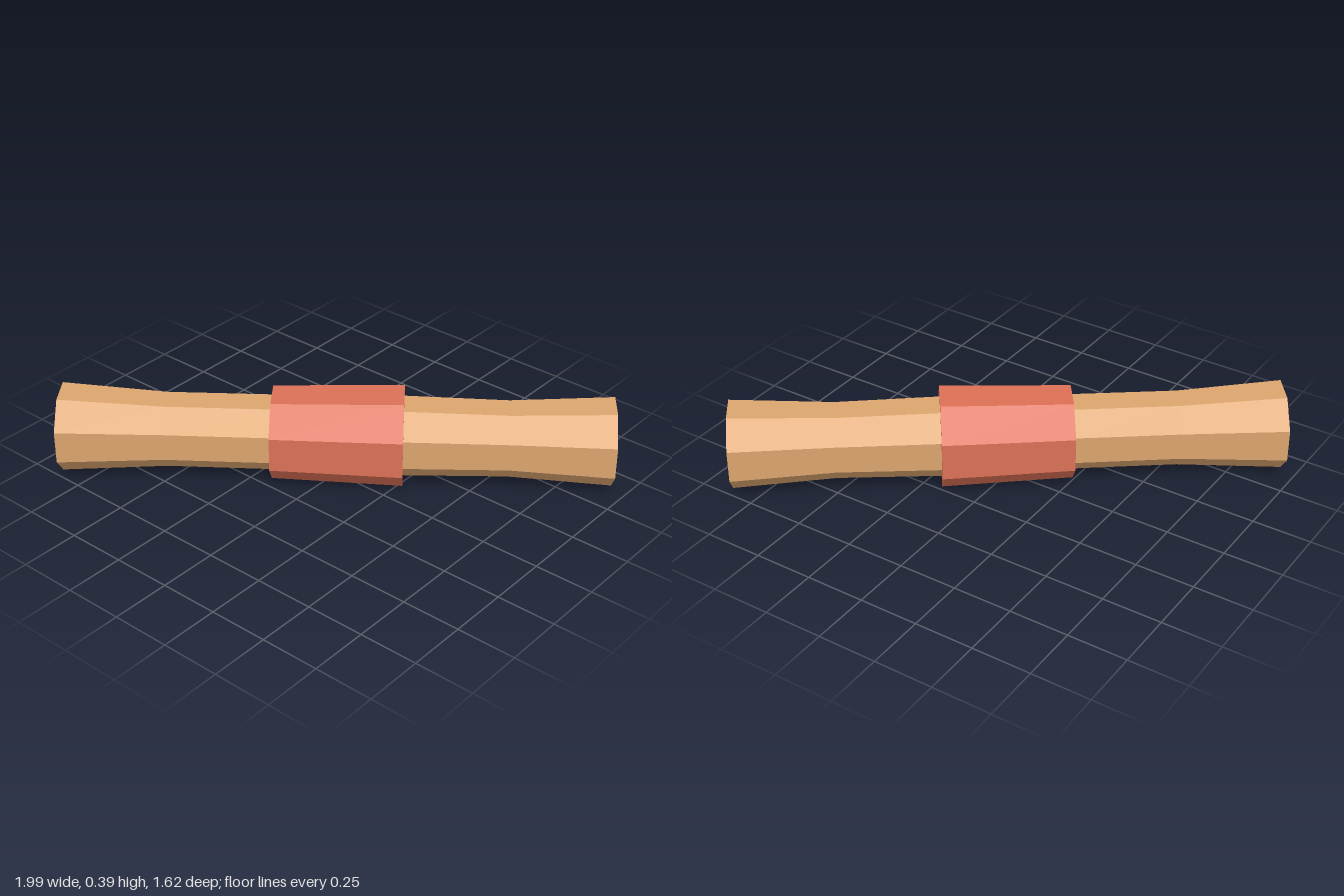
import * as THREE from 'three';

const SIDES = 8;
const AXIS_HEIGHT = 0.195;
const HEADING = THREE.MathUtils.degToRad(37.1);

// Closed eight-sided bar along x, from [position, half width across flats] rings
function octagonBar(name, rings, material) {
  const toCorner = 1 / Math.cos(Math.PI / SIDES);
  const profile = rings.map(([t, half]) => new THREE.Vector2(half * toCorner, t));
  profile.unshift(new THREE.Vector2(0, rings[0][0]));
  profile.push(new THREE.Vector2(0, rings[rings.length - 1][0]));
  const geometry = new THREE.LatheGeometry(profile, SIDES, Math.PI / SIDES);
  geometry.rotateZ(-Math.PI / 2);
  const mesh = new THREE.Mesh(geometry, material);
  mesh.name = name;
  return mesh;
}

export function createModel() {
  const wood = new THREE.MeshStandardMaterial({ color: 0xdba56e, flatShading: true });
  wood.name = 'tan wood';
  const red = new THREE.MeshStandardMaterial({ color: 0xdb7056, flatShading: true });
  red.name = 'coral red';

  // Shaft flares at both ends and swells slightly at the middle
  const shaft = octagonBar('shaft', [
    [-1.123, 0.168], [-0.69, 0.142], [-0.26, 0.143],
    [0.27, 0.152], [0.7, 0.145], [1.123, 0.168],
  ], wood);

  // Sleeve wrapped round the middle, a little wider towards one end
  const sleeve = octagonBar('sleeve', [[-0.26, 0.177], [0.275, 0.193]], red);

  const model = new THREE.Group();
  model.name = 'wrappedBar';
  const bar = new THREE.Group();
  bar.name = 'bar';
  bar.add(shaft, sleeve);
  bar.position.y = AXIS_HEIGHT;
  bar.rotation.y = HEADING;
  model.add(bar);
  return model;
}
